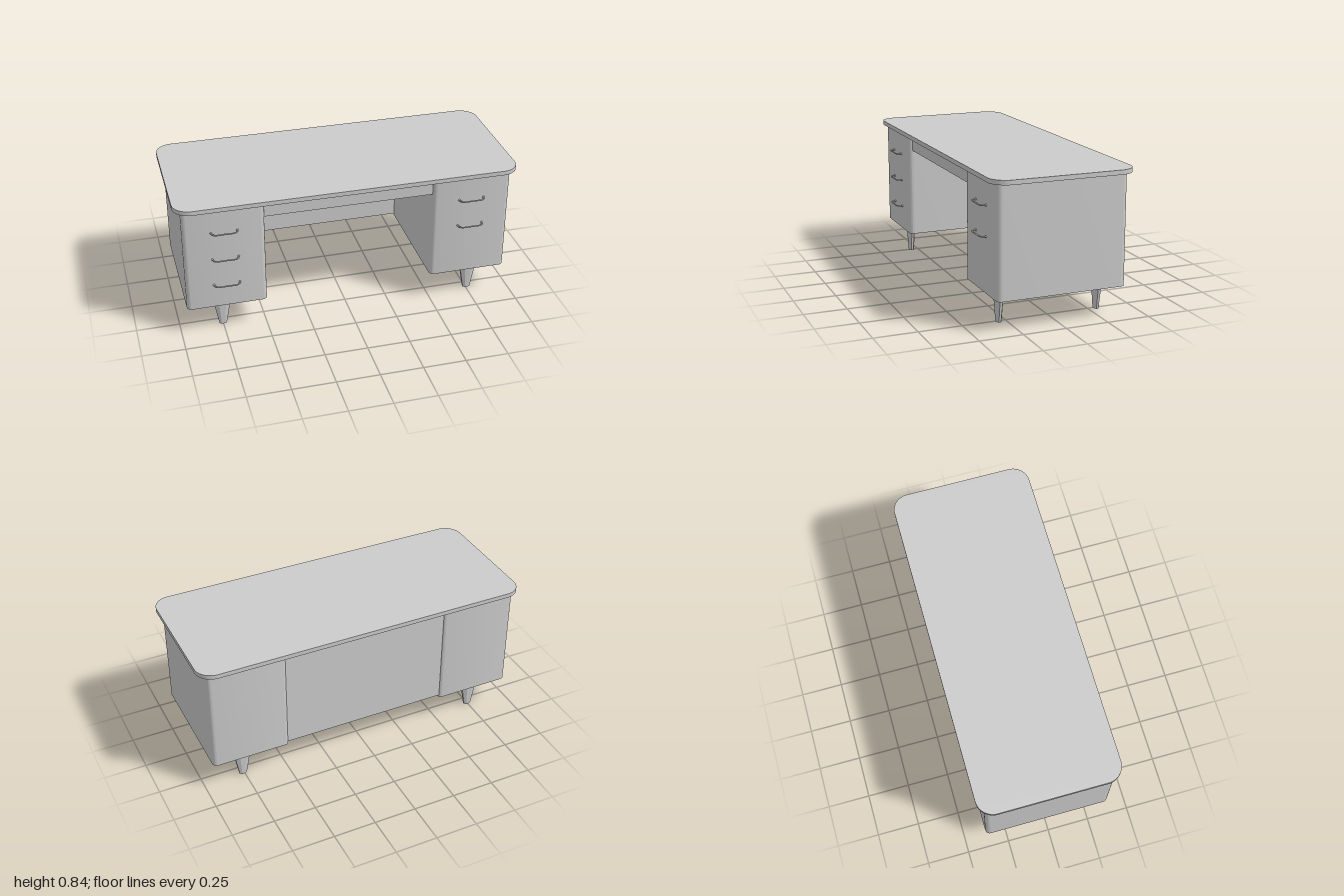
import * as THREE from 'three';
import { toCreasedNormals } from 'three/addons/utils/BufferGeometryUtils.js';

const grey = new THREE.MeshStandardMaterial({ color: 0xcccccc });

function add(parent, name, geometry, x = 0, y = 0, z = 0) {
  const mesh = new THREE.Mesh(geometry, grey);
  mesh.name = name;
  mesh.position.set(x, y, z);
  parent.add(mesh);
  return mesh;
}

// Upright block with rounded vertical corners, standing on its own y = 0
function roundedSlab(width, height, depth, r) {
  const w = width / 2, d = depth / 2;
  const s = new THREE.Shape();
  s.moveTo(-w + r, -d);
  s.absarc(w - r, -d + r, r, -Math.PI / 2, 0);
  s.absarc(w - r, d - r, r, 0, Math.PI / 2);
  s.absarc(-w + r, d - r, r, Math.PI / 2, Math.PI);
  s.absarc(-w + r, -d + r, r, Math.PI, Math.PI * 1.5);
  const g = new THREE.ExtrudeGeometry(s, { depth: height, bevelEnabled: false, curveSegments: 8 });
  g.rotateX(-Math.PI / 2);
  return toCreasedNormals(g, 0.6);
}

// Tapered faceted leg, wider across x than z
function legGeometry(height) {
  const g = new THREE.CylinderGeometry(1, 1, height, 8, 1, false, Math.PI / 8);
  g.translate(0, height / 2, 0);
  const p = g.attributes.position;
  const k = 1 / Math.cos(Math.PI / 8);
  for (let i = 0; i < p.count; i++) {
    const top = p.getY(i) > height / 2;
    p.setX(i, p.getX(i) * k * (top ? 0.054 : 0.022));
    p.setZ(i, p.getZ(i) * k * (top ? 0.0235 : 0.0145));
  }
  return toCreasedNormals(g, 0.3);
}

// Bow-shaped drawer pull with small round feet
function createHandle() {
  const handle = new THREE.Group();
  handle.name = 'handle';
  const path = new THREE.CatmullRomCurve3([
    [-0.074, 0], [-0.068, 0.022], [-0.056, 0.031], [0, 0.032],
    [0.056, 0.031], [0.068, 0.022], [0.074, 0],
  ].map(([x, z]) => new THREE.Vector3(x, 0, z)));
  add(handle, 'handleBar', new THREE.TubeGeometry(path, 28, 0.0042, 8, false));
  for (const side of [-1, 1]) {
    add(handle, 'handleFoot', new THREE.SphereGeometry(0.0065, 10, 8), side * 0.074, 0, 0.002);
  }
  return handle;
}

export function createModel() {
  const desk = new THREE.Group();
  desk.name = 'desk';

  add(desk, 'desktop', roundedSlab(2, 0.026, 0.828, 0.1), 0, 0.814, 0);

  // Pedestals with legs and drawer handles
  const pedestalGeo = roundedSlab(0.465, 0.637, 0.753, 0.028);
  const legGeo = legGeometry(0.18);
  const sides = [
    { name: 'rightPedestal', x: -0.728, legX: -0.75, handleX: -0.727, rows: [0.667, 0.496, 0.325] },
    { name: 'leftPedestal', x: 0.722, legX: 0.757, handleX: 0.72, rows: [0.667, 0.496] },
  ];
  for (const { name, x, legX, handleX, rows } of sides) {
    const pedestal = new THREE.Group();
    pedestal.name = name;
    add(pedestal, 'cabinet', pedestalGeo, x, 0.178, 0.001);
    for (const z of [0.293, -0.298]) add(pedestal, 'leg', legGeo, legX, 0, z);
    for (const y of rows) {
      const handle = createHandle();
      handle.position.set(handleX, y, 0.377);
      pedestal.add(handle);
    }
    desk.add(pedestal);
  }

  // Centre drawer under the desktop and the panel closing the back
  add(desk, 'centreDrawer', new THREE.BoxGeometry(1, 0.1, 0.7), -0.003, 0.765, 0.005);
  add(desk, 'backPanel', new THREE.BoxGeometry(1, 0.625, 0.02), -0.003, 0.5025, -0.355);

  return desk;
}
